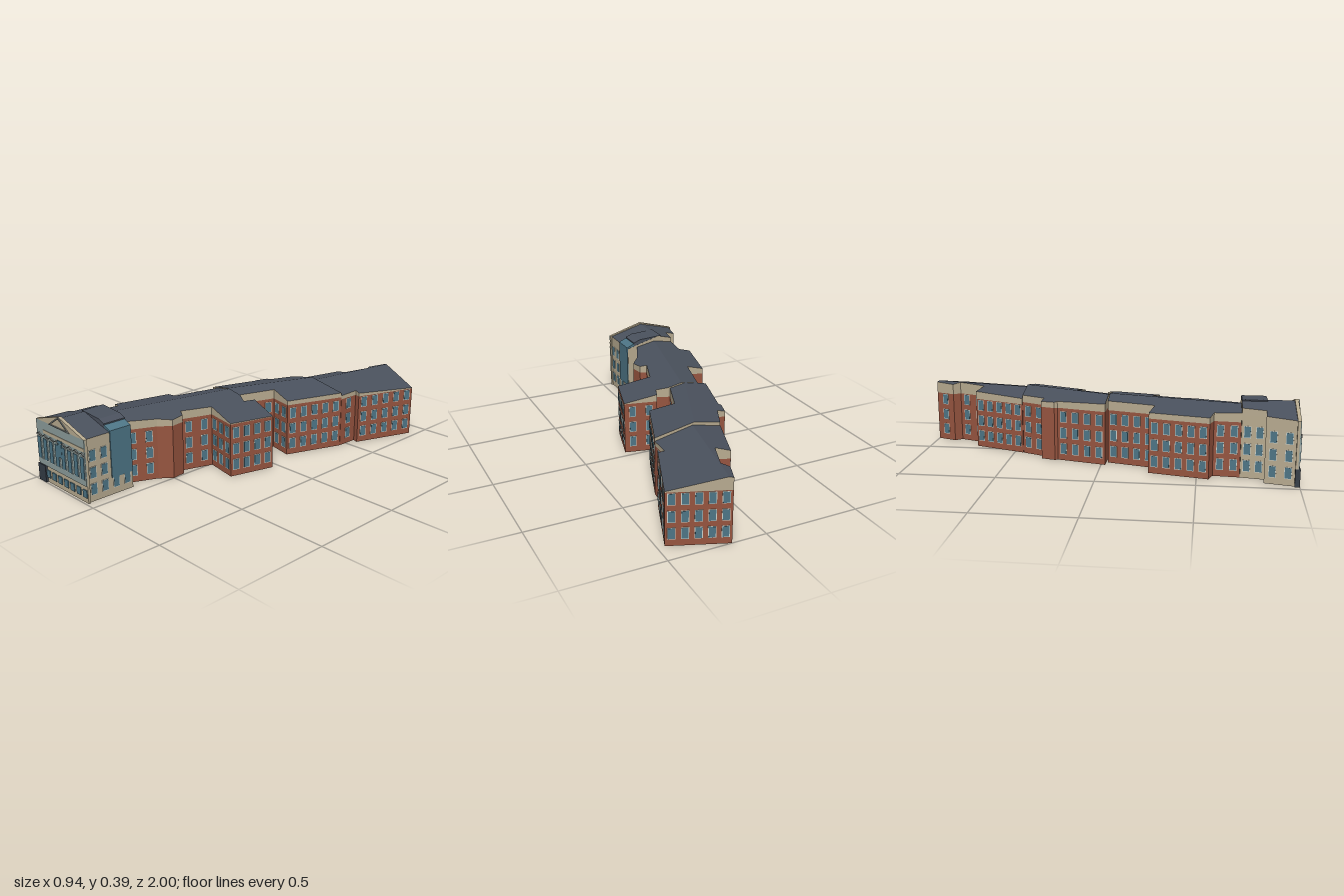
import * as THREE from 'three';
import { mergeGeometries } from 'three/addons/utils/BufferGeometryUtils.js';

const mat = (color) => new THREE.MeshStandardMaterial({ color, roughness: 0.9 });
const M = {
  brick: mat(0x96543f), stone: mat(0xb8ab90), roof: mat(0x4a515d), glass: mat(0x4d7586),
  frame: mat(0xc9cfc8), panel: mat(0x8c9d9b), door: mat(0x343c46), trim: mat(0x7d8280),
};

function addMesh(parent, name, geo, material) {
  const m = new THREE.Mesh(geo, material);
  m.name = name;
  parent.add(m);
  return m;
}

function triGeo(pos) {
  const g = new THREE.BufferGeometry();
  g.setAttribute('position', new THREE.Float32BufferAttribute(pos, 3));
  g.computeVertexNormals();
  return g;
}

// Box given by its min and max corners
function boxGeo(x0, y0, z0, x1, y1, z1) {
  return new THREE.BoxGeometry(x1 - x0, y1 - y0, z1 - z0)
    .translate((x0 + x1) / 2, (y0 + y1) / 2, (z0 + z1) / 2);
}

// Upright outline in x/y pushed from z0 to z1
function prismGeo(points, z0, z1, hole) {
  const s = new THREE.Shape(points.map(([x, y]) => new THREE.Vector2(x, y)));
  if (hole) s.holes.push(new THREE.Path(hole.map(([x, y]) => new THREE.Vector2(x, y))));
  return new THREE.ExtrudeGeometry(s, { depth: z1 - z0, bevelEnabled: false }).translate(0, 0, z0);
}

// Vertical quad over the edge p-q of a plan outline
function wallQuad(out, p, q, y0, yp, yq) {
  const a = [q.x, y0, q.y], b = [p.x, y0, p.y], c = [p.x, yp, p.y], d = [q.x, yq, q.y];
  out.push(...a, ...b, ...c, ...a, ...c, ...d);
}

// Part of a plan outline on one side of the ridge
function clipSide(pts, dist, side) {
  const res = [];
  pts.forEach((p, i) => {
    const q = pts[(i + 1) % pts.length], a = dist(p) * side, b = dist(q) * side;
    if (a >= 0) res.push(p);
    if ((a > 0 && b < 0) || (a < 0 && b > 0)) res.push(p.clone().lerp(q, a / (a - b)));
  });
  return res;
}

// One building block: walls, fascia up to the sloping roof, roof, floor and windows
function block({ name, outline, ridge, top, slope, wallTop, wall }) {
  const group = new THREE.Group();
  group.name = name;
  let pts = outline.map(([x, z]) => new THREE.Vector2(x, z));
  if (THREE.ShapeUtils.isClockWise(pts)) pts = pts.reverse();
  const r0 = new THREE.Vector2(...ridge[0]);
  const dir = new THREE.Vector2(...ridge[1]).sub(r0).normalize();
  const dist = (p) => (p.x - r0.x) * dir.y - (p.y - r0.y) * dir.x;
  const height = (p) => top - slope * Math.abs(dist(p));

  const walls = [], fascia = [], roof = [], floor = [];
  const glass = [], frames = [];
  pts.forEach((p, i) => {
    const q = pts[(i + 1) % pts.length];
    wallQuad(walls, p, q, 0, wallTop, wallTop);
    const len = p.distanceTo(q);
    if (len < 0.09 || Math.abs(p.y - q.y) < 0.02) return;
    // Three rows of framed windows
    const n = Math.floor(len / 0.06), ang = Math.atan2(q.y - p.y, -(q.x - p.x));
    for (let k = 0; k < n; k++) {
      const c = p.clone().lerp(q, (k + 0.5) / n);
      for (const y of [0.064, 0.15, 0.238]) {
        const put = (w, h, t) => new THREE.BoxGeometry(w, h, t).rotateY(ang).translate(c.x, y, c.y);
        frames.push(put(0.037, 0.06, 0.004));
        glass.push(put(0.031, 0.054, 0.006));
      }
    }
  });
  for (const side of [1, -1]) {
    const half = clipSide(pts, dist, side);
    half.forEach((p, i) => {
      const q = half[(i + 1) % half.length];
      if (Math.abs(dist(p)) + Math.abs(dist(q)) > 1e-4) wallQuad(fascia, p, q, wallTop, height(p), height(q));
    });
    for (const [a, b, c] of THREE.ShapeUtils.triangulateShape(half, []))
      for (const i of [a, c, b]) roof.push(half[i].x, height(half[i]), half[i].y);
  }
  for (const f of THREE.ShapeUtils.triangulateShape(pts, []))
    for (const i of f) floor.push(pts[i].x, 0, pts[i].y);

  addMesh(group, 'walls', triGeo(walls), wall);
  addMesh(group, 'fascia', triGeo(fascia), M.stone);
  addMesh(group, 'roof', triGeo(roof), M.roof);
  addMesh(group, 'floor', triGeo(floor), wall);
  addMesh(group, 'windowFrames', mergeGeometries(frames), M.frame);
  addMesh(group, 'windowPanes', mergeGeometries(glass), M.glass);
  return group;
}

// Classical front with tall windows, pediment and door
function facade() {
  const g = new THREE.Group();
  g.name = 'frontFacade';
  const x0 = -0.47, x1 = -0.052, mid = -0.261;
  addMesh(g, 'facadeWall', boxGeo(x0, 0, 0.975, x1, 0.33, 0.988), M.stone);
  addMesh(g, 'facadePanel', boxGeo(x0, 0.09, 0.988, x1, 0.33, 0.993), M.panel);
  addMesh(g, 'gable', prismGeo([[x0, 0.33], [x1, 0.33], [mid, 0.39]], 0.975, 0.993), M.stone);
  addMesh(g, 'pedimentTrim', prismGeo([[-0.352, 0.33], [-0.17, 0.33], [mid, 0.39]], 0.99, 0.998,
    [[-0.334, 0.335], [mid, 0.382], [-0.188, 0.335]]), M.trim);
  addMesh(g, 'upperBand', boxGeo(-0.41, 0.268, 0.99, x1, 0.285, 0.995), M.stone);
  const tall = [], low = [], hoods = [], frames = [];
  for (let i = 0; i < 8; i++) {
    const x = -0.449 + i * 0.0537;
    frames.push(boxGeo(x - 0.018, 0.121, 0.99, x + 0.018, 0.243, 0.995));
    tall.push(boxGeo(x - 0.015, 0.125, 0.99, x + 0.015, 0.24, 0.998));
    hoods.push(prismGeo([[x - 0.02, 0.248], [x, 0.258], [x + 0.02, 0.248], [x + 0.02, 0.253],
      [x, 0.263], [x - 0.02, 0.253]], 0.99, 1));
    if (i > 0) low.push(boxGeo(x - 0.017, 0.028, 0.985, x + 0.017, 0.068, 0.993));
  }
  tall.push(boxGeo(mid - 0.017, 0.18, 0.99, mid + 0.017, 0.268, 0.999));
  addMesh(g, 'tallWindowFrames', mergeGeometries(frames), M.frame);
  addMesh(g, 'tallWindows', mergeGeometries(tall), M.glass);
  addMesh(g, 'lowWindows', mergeGeometries(low), M.glass);
  addMesh(g, 'windowHoods', mergeGeometries(hoods), M.trim);
  addMesh(g, 'door', boxGeo(-0.472, 0, 0.975, -0.408, 0.091, 1), M.door);
  return g;
}

export function createModel() {
  const model = new THREE.Group();
  model.name = 'longBuilding';

  model.add(block({
    name: 'rearBlock', wall: M.brick, wallTop: 0.272, top: 0.338, slope: 0.22,
    ridge: [[0.2, -0.99], [0.1, -0.45]],
    outline: [[0.18, -1], [0.463, -0.89], [0.34, -0.56], [0.31, -0.57], [0.305, -0.452], [-0.055, -0.452],
      [0.045, -0.735], [0.114, -0.705], [0.17, -0.86], [0.14, -0.895]],
  }));
  model.add(block({
    name: 'middleBlock', wall: M.brick, wallTop: 0.285, top: 0.352, slope: 0.21,
    ridge: [[0.09, -0.45], [-0.1, 0.03]],
    outline: [[-0.055, -0.45], [0.305, -0.45], [0.19, -0.14], [0.06, -0.17], [-0.01, 0.028], [-0.225, 0.022],
      [-0.16, -0.24], [-0.17, -0.255], [-0.15, -0.33], [-0.11, -0.32]],
  }));
  model.add(block({
    name: 'wingBlock', wall: M.brick, wallTop: 0.285, top: 0.354, slope: 0.2,
    ridge: [[-0.08, 0.03], [-0.235, 0.715]],
    outline: [[-0.18, 0.031], [-0.245, 0.28], [-0.33, 0.255], [-0.4, 0.56], [-0.34, 0.58], [-0.35, 0.715],
      [-0.12, 0.715], [-0.05, 0.56], [0, 0.5], [-0.01, 0.425], [-0.045, 0.41], [0.01, 0.245],
      [0.19, 0.28], [0.255, 0.04], [0.08, 0], [0.06, 0.06], [0, 0.031]],
  }));
  model.add(block({
    name: 'frontBlock', wall: M.stone, wallTop: 0.32, top: 0.382, slope: 0.27,
    ridge: [[-0.261, 0.72], [-0.261, 0.98]],
    outline: [[-0.46, 0.98], [-0.06, 0.98], [-0.06, 0.716], [-0.35, 0.716], [-0.37, 0.835], [-0.425, 0.83]],
  }));

  // Stair tower with a glazed side and sloping top
  addMesh(model, 'glassTower', prismGeo([[-0.14, 0.09], [-0.055, 0.09], [-0.055, 0.335], [-0.14, 0.37]], 0.718, 0.842), M.glass);
  addMesh(model, 'towerRoof', prismGeo([[-0.28, 0.3], [-0.1, 0.3], [-0.1, 0.36], [-0.14, 0.375], [-0.28, 0.383]], 0.717, 0.843), M.roof);

  model.add(facade());
  return model;
}
